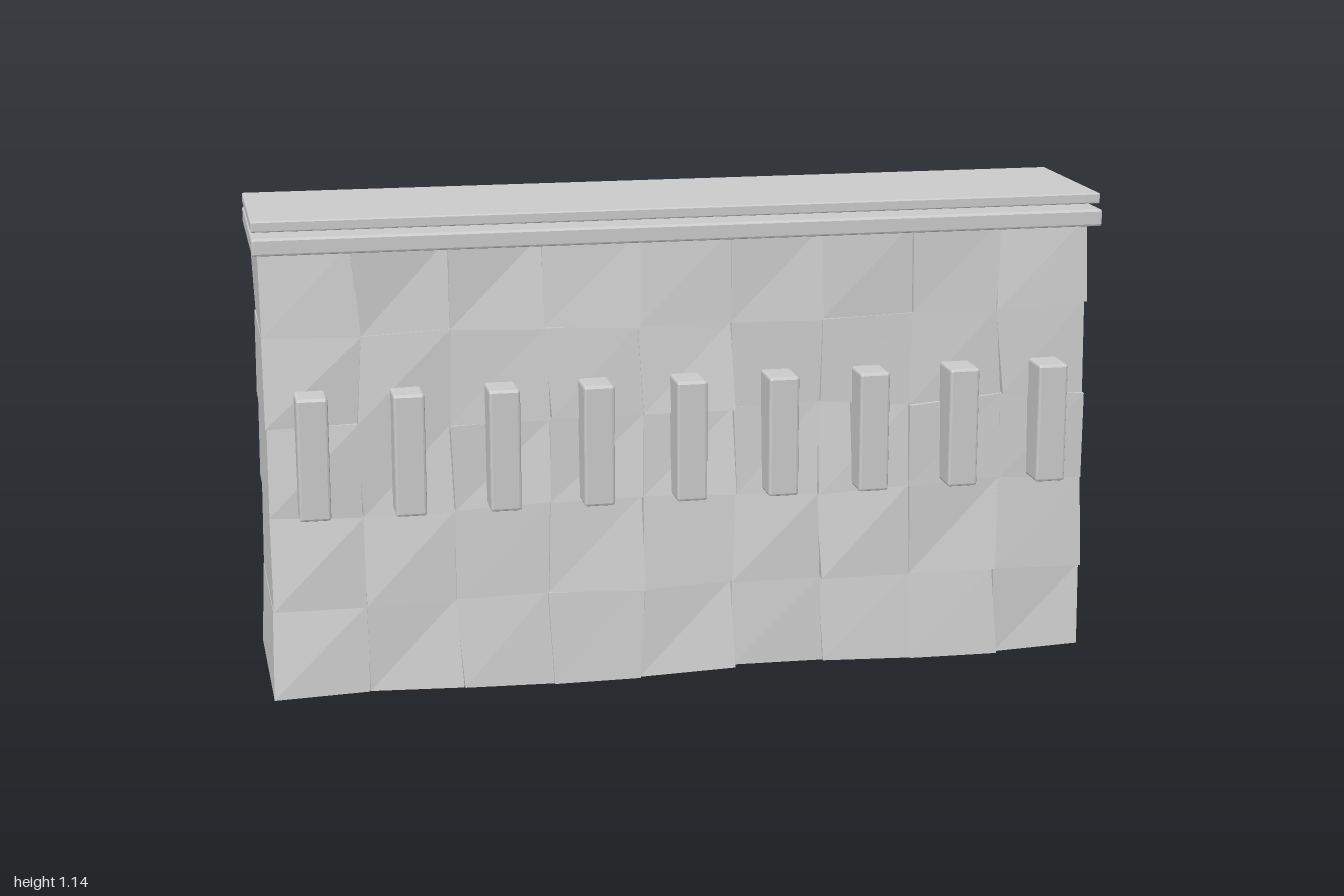
import * as THREE from 'three';
import { RoundedBoxGeometry } from 'three/addons/geometries/RoundedBoxGeometry.js';

// Small seeded generator, returns -1..1
function makeJitter(seed) {
  let s = seed;
  return () => {
    s = (s * 16807) % 2147483647;
    return (s / 2147483647) * 2 - 1;
  };
}

export function createModel() {
  const model = new THREE.Group();
  const stone = new THREE.MeshStandardMaterial({ color: 0xcccccc, flatShading: true });
  stone.name = 'grey stone';
  const jitter = makeJitter(4711);

  // Wall of roughly hewn blocks, tapering towards the top
  const columns = 9;
  const levels = [0.014, 0.228, 0.446, 0.652, 0.868, 1.08];
  const wall = new THREE.Group();
  wall.name = 'stoneWall';
  model.add(wall);

  // Joint positions shared by neighbouring blocks
  const joints = levels.map((y, r) => Array.from({ length: columns + 1 }, (_, c) => ({
    x: -0.985 + (1.97 * c) / columns + jitter() * (c % columns ? 0.012 : 0.005),
    y: y + jitter() * (r === 5 ? 0 : 0.009),
  })));

  for (let r = 0; r < 5; r++) {
    for (let c = 0; c < columns; c++) {
      const geo = new THREE.BoxGeometry(1, 1, 1);
      const corners = {};
      const pos = geo.attributes.position;
      for (let i = 0; i < pos.count; i++) {
        const sx = Math.sign(pos.getX(i)), sy = Math.sign(pos.getY(i)), sz = Math.sign(pos.getZ(i));
        const key = `${sx},${sy},${sz}`;
        if (!corners[key]) {
          const joint = joints[r + (sy > 0 ? 1 : 0)][c + (sx > 0 ? 1 : 0)];
          const t = joint.y / 1.07;
          const face = sz > 0 ? 0.19 - 0.046 * t : -0.222 + 0.05 * t;
          // Each block leans slightly inwards from its foot to its head
          corners[key] = [
            joint.x + jitter() * 0.003,
            joint.y + jitter() * 0.002,
            face - sz * sy * 0.005 + jitter() * 0.011,
          ];
        }
        pos.setXYZ(i, ...corners[key]);
      }
      geo.computeVertexNormals();
      const block = new THREE.Mesh(geo, stone);
      block.name = `block_${r + 1}_${c + 1}`;
      wall.add(block);
    }
  }

  // Box with narrow bevels, given by its limits
  function bevelled(name, [x0, x1], [y0, y1], [z0, z1], bevel) {
    const mesh = new THREE.Mesh(new RoundedBoxGeometry(x1 - x0, y1 - y0, z1 - z0, 1, bevel), stone);
    mesh.position.set((x0 + x1) / 2, (y0 + y1) / 2, (z0 + z1) / 2);
    mesh.name = name;
    model.add(mesh);
  }

  // Two coping slabs on top
  bevelled('lowerSlab', [-1, 1], [1.069, 1.109], [-0.243, 0.208], 0.005);
  bevelled('upperSlab', [-1, 1], [1.12, 1.145], [-0.219, 0.187], 0.003);

  // Row of upright blocks on the front, one per column
  for (let i = 0; i < columns; i++) {
    const x = -0.88 + i * 0.22;
    bevelled(`frontStud_${i + 1}`, [x - 0.036, x + 0.036], [0.456, 0.744], [0.1, 0.245], 0.006);
  }
  return model;
}
